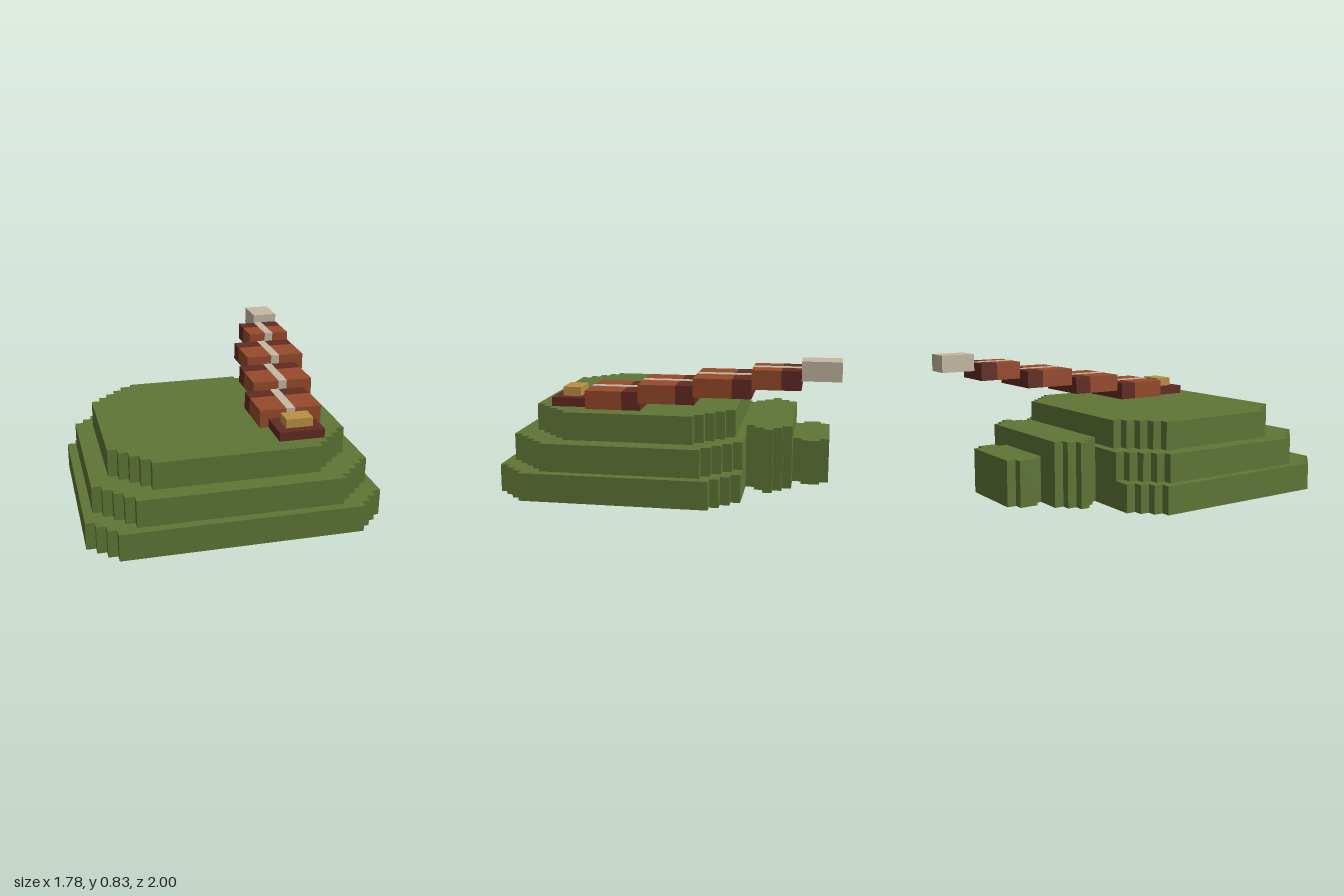
import * as THREE from 'three';

const U = 1 / 18; // one block

const mat = (name, color) => {
  const m = new THREE.MeshStandardMaterial({ color });
  m.name = name;
  return m;
};

const part = (name, geometry, material) => {
  const m = new THREE.Mesh(geometry, material);
  m.name = name;
  return m;
};

// Rectangle outline with stair-stepped corners, between z0 and z1
function steppedOutline(w, z0, z1, cut) {
  const h = (z1 - z0) / 2, mid = (z0 + z1) / 2, c = [];
  for (let k = 0; k <= cut; k++) {
    c.push([w - cut + k, h - k]);
    if (k < cut) c.push([w - cut + k, h - k - 1]);
  }
  const flip = (sx, sz) => c.map(([x, z]) => [sx * x, sz * z]);
  return [...c, ...flip(1, -1).reverse(), ...flip(-1, -1), ...flip(-1, 1).reverse()]
    .map(([x, z]) => [x, z + mid]);
}

// Outline from a +x half profile, mirrored to -x
const mirrored = (half) => [...half, ...half.map(([x, z]) => [-x, z]).reverse()];

const toPoints = (pts) => pts.map(([x, z]) => new THREE.Vector2(x * U, -z * U));

// Solid slab between y0 and y1
function slab(name, outline, y0, y1, material) {
  const g = new THREE.ExtrudeGeometry(new THREE.Shape(toPoints(outline)),
    { depth: (y1 - y0) * U, bevelEnabled: false });
  g.rotateX(-Math.PI / 2);
  g.translate(0, y0 * U, 0);
  return part(name, g, material);
}

// Thin horizontal sheet at height y, with an optional opening
function sheet(name, outline, y, material, hole) {
  const shape = new THREE.Shape(toPoints(outline));
  if (hole) shape.holes.push(new THREE.Path(toPoints(hole)));
  const g = new THREE.ShapeGeometry(shape);
  g.rotateX(-Math.PI / 2);
  g.translate(0, y * U, 0);
  return part(name, g, material);
}

// Thin upright wall around an outline
function wall(name, outline, y0, y1, material) {
  const pos = [];
  outline.forEach(([ax, az], i) => {
    const [bx, bz] = outline[(i + 1) % outline.length];
    pos.push(ax, y0, az, bx, y0, bz, bx, y1, bz, ax, y0, az, bx, y1, bz, ax, y1, az);
  });
  const g = new THREE.BufferGeometry();
  g.setAttribute('position', new THREE.Float32BufferAttribute(pos, 3));
  g.scale(U, U, U);
  g.computeVertexNormals();
  return part(name, g, material);
}

// Box given by its limits in blocks
function block(name, [x0, x1], [y0, y1], [z0, z1], material) {
  const g = new THREE.BoxGeometry((x1 - x0) * U, (y1 - y0) * U, (z1 - z0) * U);
  const m = part(name, g, material);
  m.position.set((x0 + x1) * U / 2, (y0 + y1) * U / 2, (z0 + z1) * U / 2);
  return m;
}

export function createModel() {
  const green = mat('green', 0x607636);
  green.side = THREE.DoubleSide;
  const brown = mat('rust brown', 0x974a2b);
  const dark = mat('dark brown', 0x622b22);
  const grey = mat('stone grey', 0xc4b9a2);
  const gold = mat('gold', 0xbb9043);

  const model = new THREE.Group();
  model.name = 'model';

  // Hollow three-tier shell of thin sheets, with an open-centred rim underneath
  const lower = steppedOutline(16, -8, 18, 3);
  const middle = steppedOutline(15, -8, 17, 4);
  const upper = steppedOutline(13, -7, 15, 4);
  const shell = new THREE.Group();
  shell.name = 'shell';
  shell.add(
    sheet('bottomRim', lower, 0, green, steppedOutline(13, -5, 15, 3)),
    wall('lowerWall', lower, 0, 3, green),
    sheet('lowerLedge', lower, 3, green, middle),
    wall('middleWall', middle, 3, 6, green),
    sheet('middleLedge', middle, 6, green, upper),
    wall('upperWall', upper, 6, 9, green),
    sheet('shellTop', upper, 9, green)
  );
  model.add(shell);

  // Rear neck and end block
  model.add(
    slab('neck', mirrored([[7, -8], [7, -9], [8, -9], [8, -10], [9, -10], [9, -11],
      [8, -11], [8, -12], [7, -12], [7, -13]]), 0, 7, green),
    slab('neckEnd', mirrored([[4, -13], [4, -14], [5, -14], [5, -16], [4, -16], [4, -17]]), 0, 5, green)
  );

  // Rising segmented arm
  const arm = new THREE.Group();
  arm.name = 'arm';
  arm.add(
    block('armBase', [5, 10], [9, 10], [9, 13], dark),
    block('armBuckle', [6, 9], [10, 11], [10, 12], gold)
  );
  // x range, bottom, z range
  const segments = [
    [4, 11, 9, 3, 9],
    [5, 12, 10, -3, 3],
    [6, 13, 11, -9, -3],
    [8, 13, 12, -14, -9],
  ];
  segments.forEach(([x0, x1, y, z0, z1], i) => {
    const seg = new THREE.Group();
    seg.name = 'armSegment' + (i + 1);
    const e = 0.04; // stripe stands just proud of the segment
    seg.add(
      block('segmentFront', [x0, x1], [y, y + 2], [z0 + 2, z1], brown),
      block('segmentBack', [x0, x1], [y, y + 2], [z0, z0 + 2], dark),
      block('segmentStripe', [7 + i, 8 + i], [y + 1, y + 2 + e], [z0, z1 + e], grey)
    );
    arm.add(seg);
  });
  arm.add(block('armTip', [10, 13], [13, 15], [-18, -14], grey));
  model.add(arm);

  return model;
}
